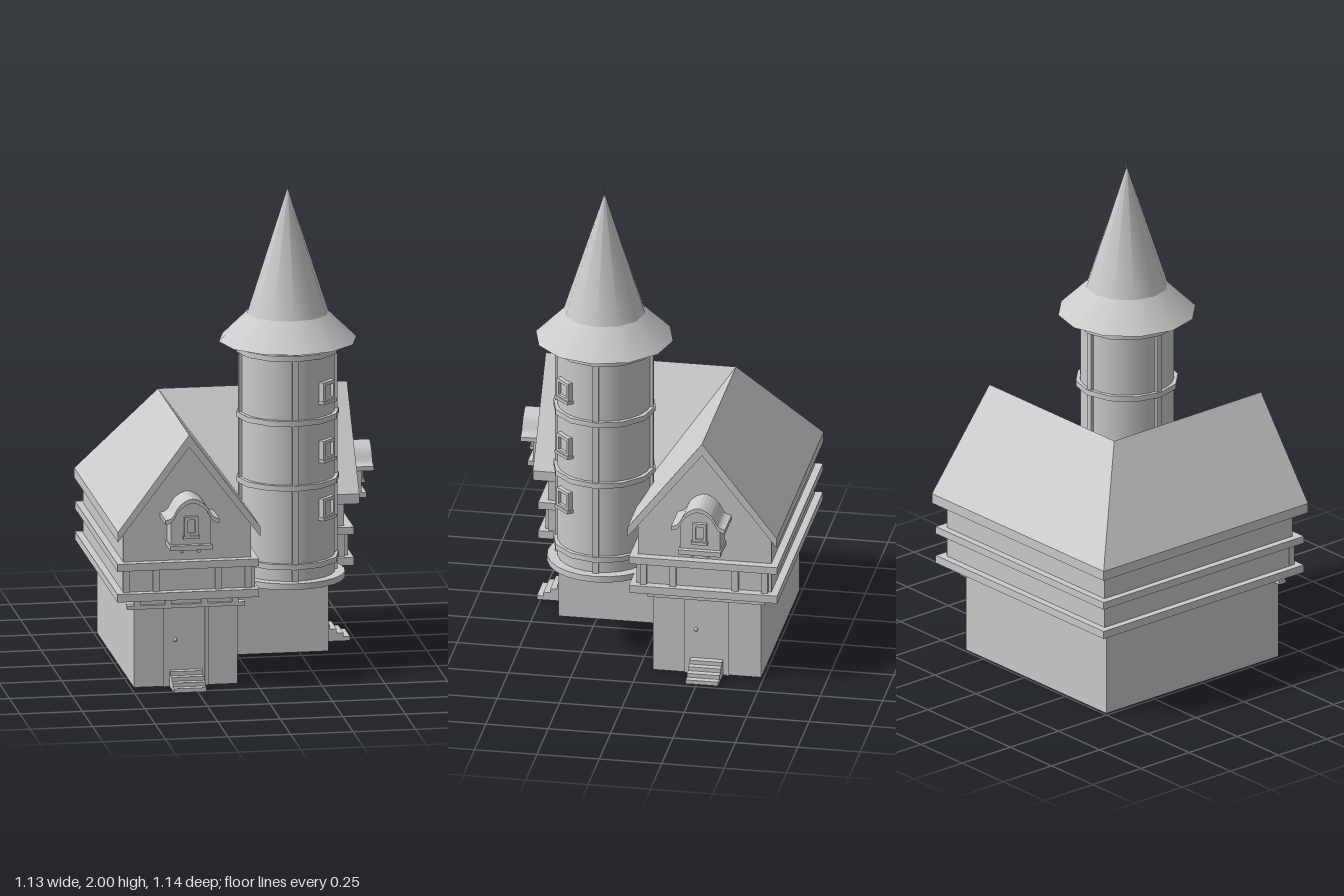
import * as THREE from 'three';

const MAT = new THREE.MeshStandardMaterial({ color: 0xcccccc });
const RIDGE = { x: -0.28, z: -0.272 }; // where the two ridges meet

function add(parent, name, geo, x = 0, y = 0, z = 0) {
  const m = new THREE.Mesh(geo, MAT);
  m.name = name;
  m.position.set(x, y, z);
  parent.add(m);
  return m;
}

// Box given by its limits
function block(parent, name, x0, x1, y0, y1, z0, z1) {
  return add(parent, name, new THREE.BoxGeometry(x1 - x0, y1 - y0, z1 - z0),
    (x0 + x1) / 2, (y0 + y1) / 2, (z0 + z1) / 2);
}

// Sweeps a counter-clockwise section [offset, y] round the L-shaped plan with a mitred corner
function sweepL(section, xEnd, zEnd) {
  const k = 1.05;
  const rings = [
    section.map(([d, y]) => [RIDGE.x + d, y, zEnd]),
    section.map(([d, y]) => [RIDGE.x + d, y, RIDGE.z + d * k]),
    section.map(([d, y]) => [xEnd, y, RIDGE.z + d * k]),
  ];
  const pos = [];
  const tri = (a, b, c) => pos.push(...a, ...b, ...c);
  for (let s = 0; s < 2; s++) {
    for (let i = 0; i < section.length; i++) {
      const j = (i + 1) % section.length;
      const [a, b] = [rings[s], rings[s + 1]];
      tri(a[i], b[i], b[j]);
      tri(a[i], b[j], a[j]);
    }
  }
  const caps = THREE.ShapeUtils.triangulateShape(section.map((p) => new THREE.Vector2(...p)), []);
  for (const [a, b, c] of caps) {
    tri(rings[0][a], rings[0][b], rings[0][c]);
    tri(rings[2][a], rings[2][c], rings[2][b]);
  }
  const geo = new THREE.BufferGeometry();
  geo.setAttribute('position', new THREE.Float32BufferAttribute(pos, 3));
  geo.computeVertexNormals();
  return geo;
}

const slab = (d, y0, y1) => [[-d, y0], [d, y0], [d, y1], [-d, y1]];

function extrude(points, depth, hole) {
  const shape = new THREE.Shape(points);
  if (hole) shape.holes.push(new THREE.Path(hole));
  return new THREE.ExtrudeGeometry(shape, { depth, bevelEnabled: false });
}

const rect = (w, h) => [[-w, -h], [w, -h], [w, h], [-w, h]].map((p) => new THREE.Vector2(...p));

// Framed window facing +z, back on z = 0
function makeWindow(w, h, depth) {
  const g = new THREE.Group();
  g.name = 'window';
  add(g, 'windowFrame', extrude(rect(w / 2, h / 2), depth, rect(w / 2 - 0.013, h / 2 - 0.013)));
  block(g, 'windowPane', -w / 2 + 0.013, w / 2 - 0.013, -h / 2 + 0.013, h / 2 - 0.013, -0.005, depth * 0.4);
  block(g, 'windowSill', -w / 2 - 0.005, w / 2 + 0.005, -h / 2 - 0.008, -h / 2 + 0.004, -0.005, depth + 0.006);
  return g;
}

// Arched bay on the gable
function makeBay() {
  const g = new THREE.Group();
  g.name = 'gableBay';
  const arch = new THREE.SplineCurve([[-0.108, 0.716], [-0.08, 0.728], [-0.05, 0.775], [0, 0.8],
    [0.05, 0.775], [0.08, 0.728], [0.108, 0.716]].map((p) => new THREE.Vector2(...p))).getPoints(24);
  const lower = arch.map((p) => new THREE.Vector2(p.x, p.y - 0.018));
  add(g, 'bayRoof', extrude([...lower, ...[...arch].reverse()], 0.155), 0, 0, 0.69);
  const top = lower.filter((p) => Math.abs(p.x) < 0.082).reverse();
  const body = [new THREE.Vector2(-0.08, 0.6), new THREE.Vector2(0.08, 0.6), ...top];
  add(g, 'bayBody', extrude(body, 0.11), 0, 0, 0.69);
  block(g, 'baySill', -0.085, 0.085, 0.585, 0.605, 0.69, 0.82);
  for (const s of [-1, 1]) block(g, 'bayBracket', s * 0.033 - 0.006, s * 0.033 + 0.006, 0.57, 0.59, 0.69, 0.8);
  const win = makeWindow(0.055, 0.08, 0.016);
  win.position.set(0, 0.68, 0.8);
  g.add(win);
  return g;
}

// Details on one wing, facing +z; inner is the side toward the courtyard
function makeWing(name, wall, inner) {
  const g = new THREE.Group();
  g.name = name;

  // Door with frame, knob and steps
  block(g, 'door', -0.075, 0.075, 0, 0.32, wall - 0.01, wall + 0.003);
  for (const s of [-1, 1]) block(g, 'doorPost', s * 0.082 - 0.007, s * 0.082 + 0.007, 0, 0.325, wall - 0.01, wall + 0.008);
  add(g, 'doorKnob', new THREE.SphereGeometry(0.008, 10, 8), -0.043, 0.19, wall + 0.008);
  for (let i = 0; i < 4; i++) {
    block(g, 'step', -0.065, 0.065, i * 0.0165, (i + 1) * 0.0165, wall - 0.01, wall + 0.112 - i * 0.027);
  }

  // Beam and joists under the overhang
  block(g, 'lintelBeam', -0.235, 0.235, 0.32, 0.335, wall - 0.02, wall + 0.015);
  for (const x of [-0.195, -0.072, 0.072, 0.195]) {
    block(g, 'joist', x - 0.013, x + 0.013, 0.335, 0.37, wall - 0.02, wall + 0.02);
  }

  // Timber posts of the upper floor
  for (const x of [-0.243, -0.125, 0.125, 0.243]) {
    block(g, 'timberPost', x - 0.013, x + 0.013, 0.39, 0.5, 0.69, 0.718);
  }
  for (const z of [0.45, 0.57, 0.69]) {
    const x = inner * 0.26;
    block(g, 'sidePost', x - 0.013, x + 0.013, 0.39, 0.5, z - 0.013, z + 0.013);
  }
  g.add(makeBay());
  g.position.set(RIDGE.x, 0, RIDGE.z);
  return g;
}

function makeTower() {
  const g = new THREE.Group();
  g.name = 'tower';
  const drum = (name, rTop, rBottom, y0, y1, sides = 12) =>
    add(g, name, new THREE.CylinderGeometry(rTop, rBottom, y1 - y0, sides), 0, (y0 + y1) / 2, 0);

  drum('towerWall', 0.186, 0.186, 0.38, 1.34, 24);
  drum('towerBase', 0.227, 0.227, 0.37, 0.395, 24);
  for (const y of [0.455, 0.775, 1.038, 1.302]) drum('towerRing', 0.205, 0.205, y - 0.011, y + 0.011);

  // Upright timbers between the rings
  for (let i = 0; i < 4; i++) {
    const a = i * Math.PI / 2;
    const post = add(g, 'towerPost', new THREE.BoxGeometry(0.024, 0.945, 0.022),
      Math.sin(a) * 0.186, 0.863, Math.cos(a) * 0.186);
    post.rotation.y = a;
  }

  // Windows facing the courtyard
  for (const y of [0.68, 0.915, 1.152]) {
    const win = makeWindow(0.078, 0.08, 0.022);
    win.position.set(0.128, y, 0.128);
    win.rotation.y = Math.PI / 4;
    g.add(win);
  }

  // Flared spire
  drum('spireSkirt', 0.163, 0.275, 1.335, 1.445);
  drum('spire', 0.004, 0.163, 1.445, 1.94);
  drum('finial', 0.002, 0.003, 1.93, 2.0, 6);
  g.position.set(0.165, 0, 0.175);
  return g;
}

export function createModel() {
  const model = new THREE.Group();
  model.name = 'towerHouse';

  // Storeys, floor bands and the mitred roof
  add(model, 'groundFloor', sweepL(slab(0.207, 0, 0.37), 0.366, 0.403));
  add(model, 'upperFloor', sweepL(
    [[-0.255, 0.375], [0.255, 0.375], [0.255, 0.66], [0, 0.995], [-0.255, 0.66]], 0.42, 0.435));
  add(model, 'lowerBand', sweepL(slab(0.283, 0.365, 0.397), 0.455, 0.47));
  add(model, 'upperBand', sweepL(slab(0.283, 0.49, 0.52), 0.455, 0.47));
  add(model, 'roof', sweepL([[-0.285, 0.615], [0, 0.99], [0.285, 0.615],
    [0.285, 0.655], [0, 1.04], [-0.285, 0.655]], 0.476, 0.491));

  // Two matching gable ends
  model.add(makeWing('frontWing', 0.675, 1));
  const side = makeWing('sideWing', 0.646, -1);
  side.rotation.y = Math.PI / 2;
  model.add(side);

  model.add(makeTower());
  return model;
}
